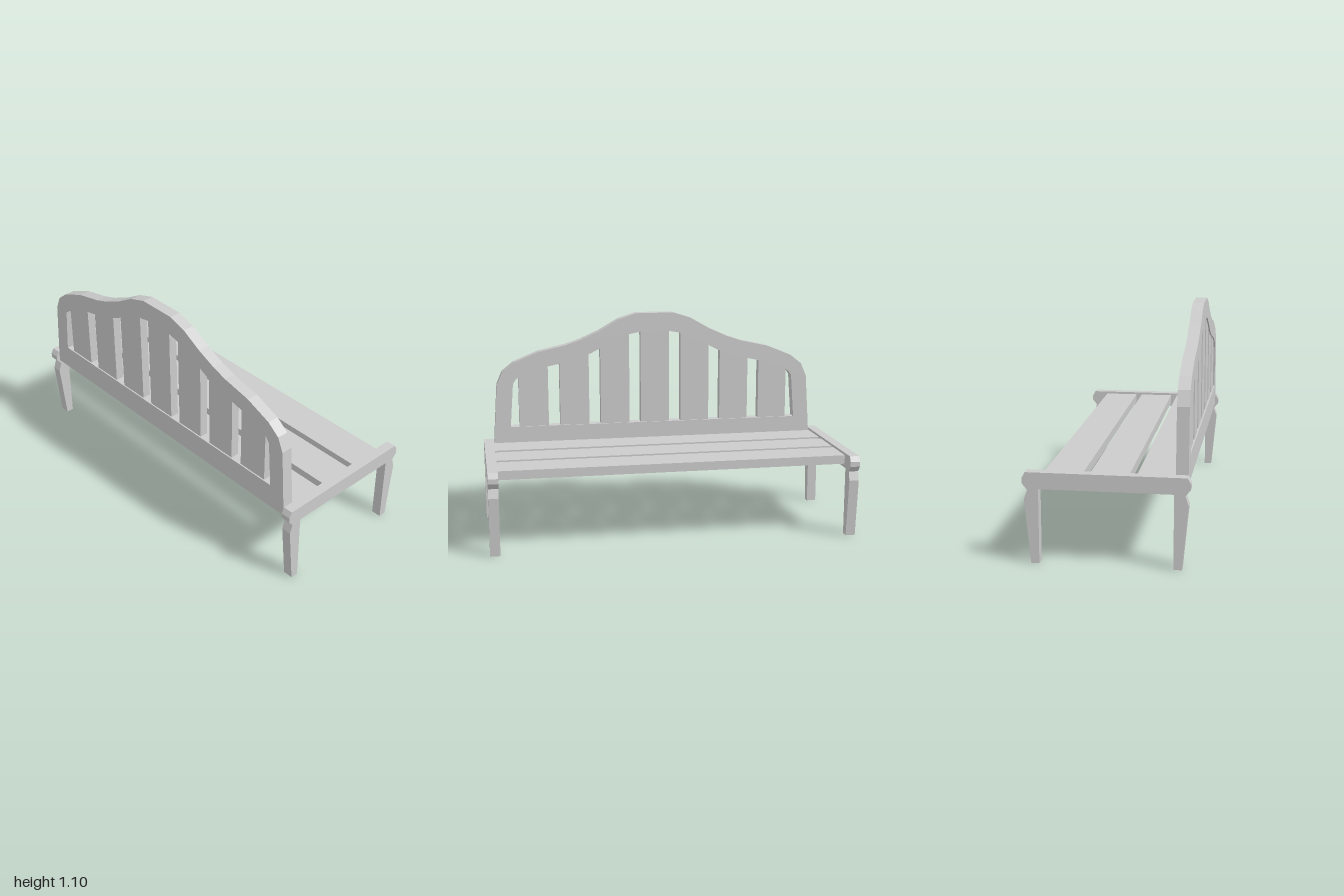
import * as THREE from 'three';

const material = new THREE.MeshStandardMaterial({ color: 0xcccccc, flatShading: true });

// Right half of the backrest outlines, from the bottom up to the crown: [x, y]
const OUTER = [[0.88, 0.415], [0.858, 0.73], [0.828, 0.8], [0.765, 0.85], [0.63, 0.905],
  [0.48, 0.938], [0.4, 0.965], [0.3, 1.01], [0.195, 1.07], [0.1, 1.1]];
const INNER = [[0.79, 0.5], [0.772, 0.735], [0.755, 0.76], [0.715, 0.785], [0.59, 0.823],
  [0.43, 0.858], [0.35, 0.89], [0.24, 0.945], [0.145, 0.987], [0.08, 1.0]];

// Half of an end frame, leg foot to top: [z, y]
const END = [[0.306, 0.35], [0.306, 0], [0.344, 0], [0.372, 0.3], [0.357, 0.345],
  [0.381, 0.375], [0.381, 0.4], [0.366, 0.427]];

const mirrored = (half) => [...half, ...half.map(([x, y]) => [-x, y]).reverse()];
const points = (list) => list.map(([x, y]) => new THREE.Vector2(x, y));

function add(group, name, geometry) {
  const mesh = new THREE.Mesh(geometry, material);
  mesh.name = name;
  group.add(mesh);
  return mesh;
}

function extrude(outline, depth, hole) {
  const shape = new THREE.Shape(points(outline));
  if (hole) shape.holes.push(new THREE.Path(points(hole)));
  return new THREE.ExtrudeGeometry(shape, { depth, bevelEnabled: false });
}

// Height of the middle of the arched band at a given x
function bandHeight(x) {
  const mid = OUTER.map(([a, b], i) => [(a + INNER[i][0]) / 2, (b + INNER[i][1]) / 2]);
  const ax = Math.abs(x);
  for (let i = mid.length - 1; i > 0; i--) {
    const [x0, y0] = mid[i], [x1, y1] = mid[i - 1];
    if (ax <= x0) return y0;
    if (ax <= x1) return y0 + (y1 - y0) * (ax - x0) / (x1 - x0);
  }
  return mid[0][1];
}

export function createModel() {
  const model = new THREE.Group();
  model.name = 'bench';
  const bench = new THREE.Group();
  bench.name = 'benchBody';
  bench.rotation.y = -THREE.MathUtils.degToRad(28);
  model.add(bench);

  // End frames: two tapered legs joined by a beam
  for (const side of [-1, 1]) {
    const geometry = extrude(mirrored(END), 0.05).translate(0, 0, -0.025).rotateY(-Math.PI / 2);
    add(bench, side > 0 ? 'leftEndFrame' : 'rightEndFrame', geometry).position.x = side * 0.91;
  }

  // Seat boards, the front one carrying the backrest
  for (const [z0, z1] of [[-0.292, -0.113], [-0.081, 0.098], [0.132, 0.362]]) {
    add(bench, 'seatBoard', new THREE.BoxGeometry(1.77, 0.045, z1 - z0))
      .position.set(0, 0.3925, (z0 + z1) / 2);
  }

  // Arched backrest frame with its opening
  add(bench, 'backrestFrame', extrude(mirrored(OUTER), 0.057, mirrored(INNER))).position.z = 0.308;

  // Upright slats, their tops buried in the arch
  for (let i = -3; i <= 3; i++) {
    const c = i * 0.221, h = 0.079;
    const top = [c + h, c + h / 2, c, c - h / 2, c - h].map((x) => [x, bandHeight(x)]);
    const outline = [[c - h, 0.46], [c + h, 0.46], ...top];
    add(bench, 'backrestSlat', extrude(outline, 0.043)).position.z = 0.315;
  }
  return model;
}
